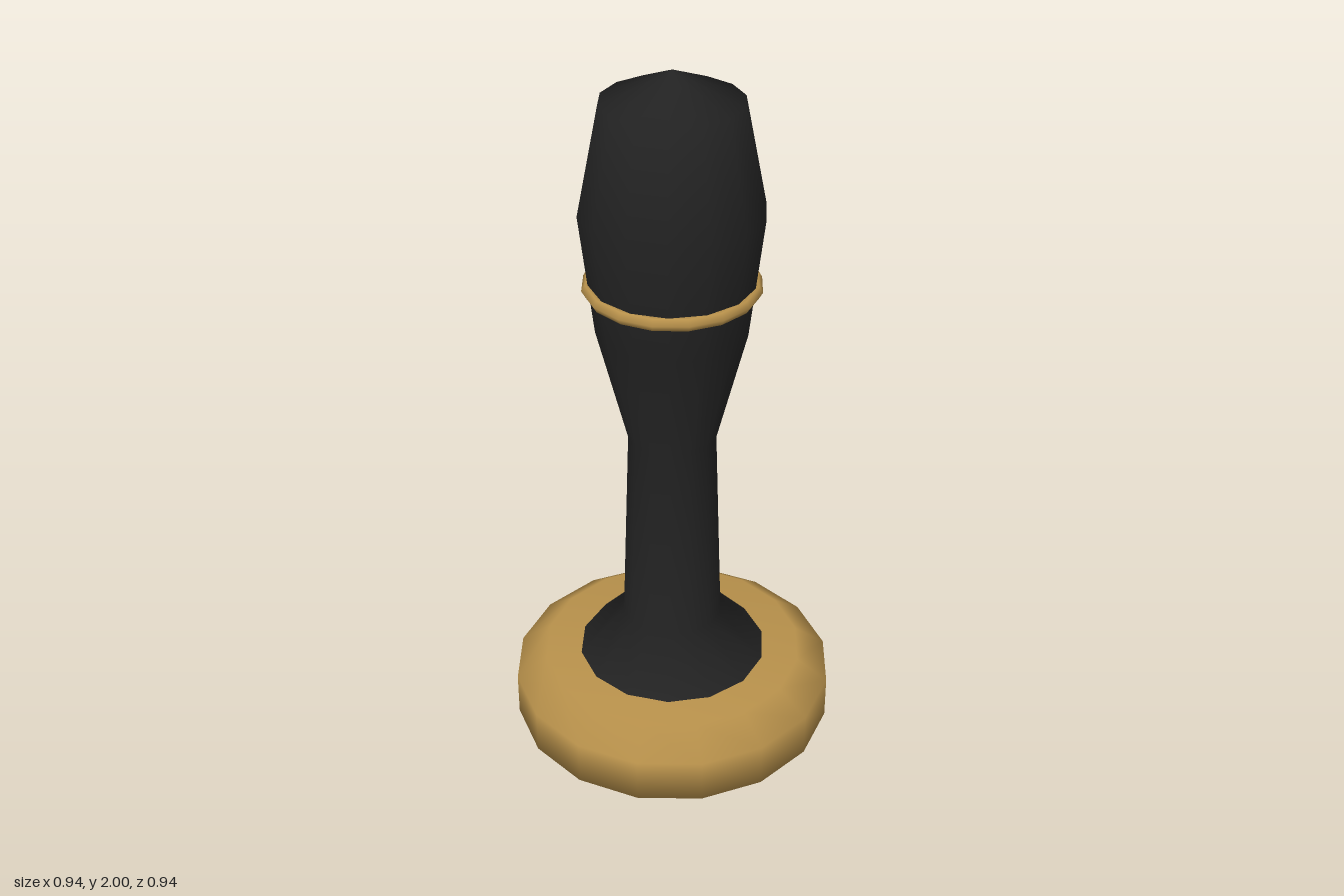
import * as THREE from 'three';

export function createModel() {
  const black = new THREE.MeshStandardMaterial({ color: 0x222222 });
  black.name = 'black';
  const gold = new THREE.MeshStandardMaterial({ color: 0xb8914b });
  gold.name = 'gold';

  const model = new THREE.Group();
  model.name = 'handStamp';
  const add = (name, geometry, material) => {
    const mesh = new THREE.Mesh(geometry, material);
    mesh.name = name;
    model.add(mesh);
    return mesh;
  };
  // Turned part from [radius, height] pairs, bottom to top, with a corner on the x axis
  const turn = (profile, sides) =>
    new THREE.LatheGeometry(profile.map(([r, y]) => new THREE.Vector2(r, y)), sides).rotateY(Math.PI / 2);

  // Round foot, its underside slightly recessed behind the dark disc
  add('base', turn([[0, 0.004], [0.36, 0.004], [0.47, 0], [0.47, 0.13], [0.38, 0.195], [0, 0.2]], 16), gold);

  // Handle: flared foot, slim stem, swelling grip and low pointed crown
  add('handle', turn([
    [0.37, 0.07], [0.275, 0.197], [0.145, 0.34], [0.125, 0.94],
    [0.21, 1.28], [0.25, 1.62], [0.19, 1.92], [0, 2],
  ], 14), black);

  // Dark disc under the foot
  const disc = add('bottomDisc', new THREE.CircleGeometry(0.375, 14).rotateX(Math.PI / 2), black);
  disc.position.y = 0;

  // Thin band around the grip
  const ring = add('ring', new THREE.TorusGeometry(0.224, 0.02, 6, 16).rotateX(Math.PI / 2), gold);
  ring.position.y = 1.405;

  return model;
}
